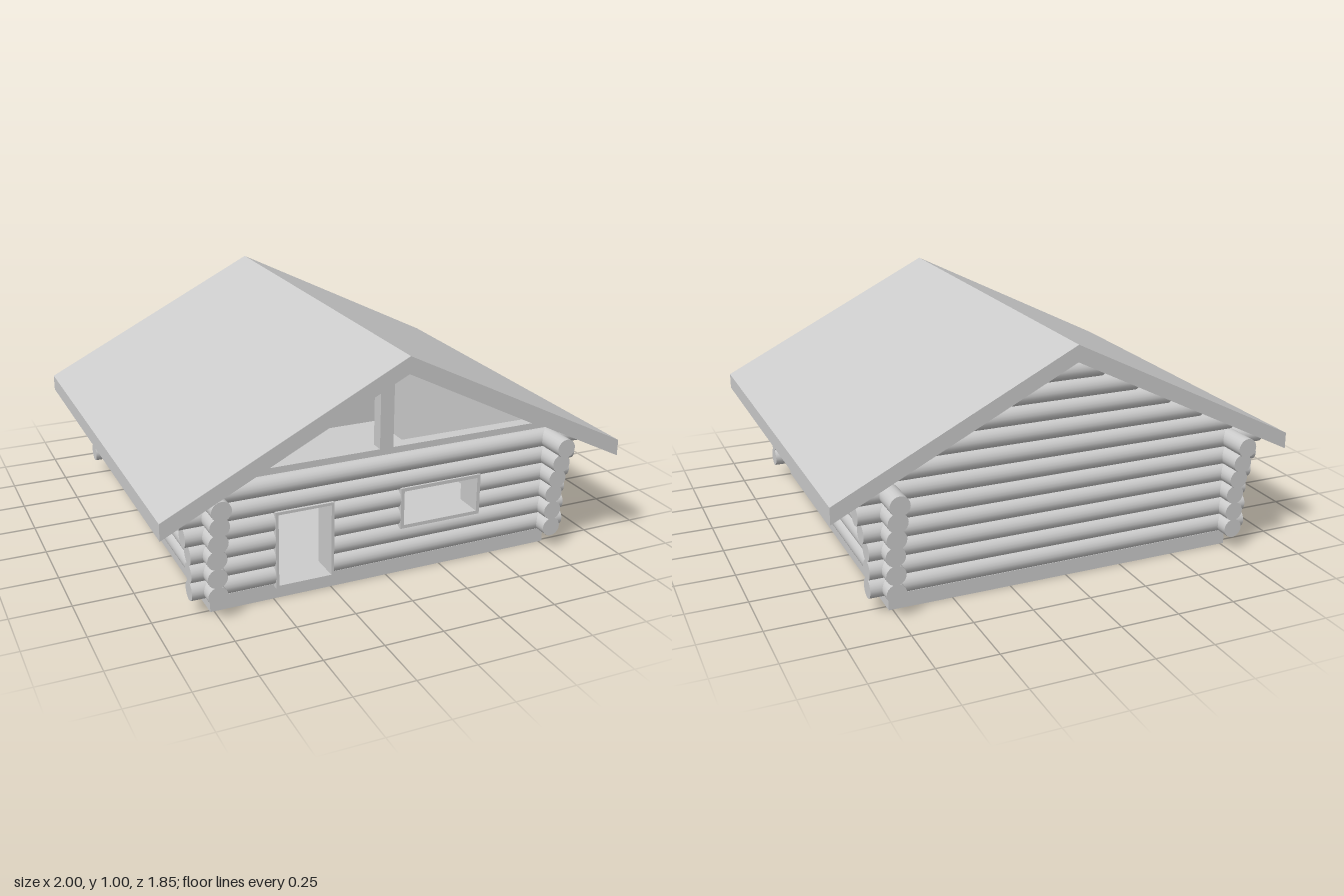
import * as THREE from 'three';

const ZC = -0.01;      // centre of the log walls along z
const WALL = 0.756;    // distance from centre to log axes
const R = 0.041;       // log radius
const PITCH = 0.0775;  // height of one log course
const Y0 = 0.104;      // axis height of the lowest course
const BASE_TOP = 0.065;
const REACH = [0.845, 0.845, 0.845, 0.864, 0.884, 0.911]; // half lengths of the corner courses

const DOOR = { x0: -0.497, x1: -0.247, y0: 0.055, y1: 0.387 };
const WINDOW = { x0: 0.05, x1: 0.42, y0: 0.21, y1: 0.39 };

const material = new THREE.MeshStandardMaterial({ color: 0xcccccc });

function add(parent, name, geometry, x = 0, y = 0, z = 0) {
  const mesh = new THREE.Mesh(geometry, material);
  mesh.name = name;
  mesh.position.set(x, y, z);
  parent.add(mesh);
  return mesh;
}

function box(parent, name, x0, x1, y0, y1, z0, z1) {
  return add(parent, name, new THREE.BoxGeometry(x1 - x0, y1 - y0, z1 - z0),
    (x0 + x1) / 2, (y0 + y1) / 2, (z0 + z1) / 2);
}

// Log between two positions along x or z
function logX(parent, name, x0, x1, y, z) {
  const g = new THREE.CylinderGeometry(R, R, x1 - x0, 20).rotateZ(Math.PI / 2);
  return add(parent, name, g, (x0 + x1) / 2, y, z);
}
function logZ(parent, name, z0, z1, x, y) {
  const g = new THREE.CylinderGeometry(R, R, z1 - z0, 20).rotateX(Math.PI / 2);
  return add(parent, name, g, x, y, (z0 + z1) / 2);
}

const points = (list) => list.map(([x, y]) => new THREE.Vector2(x, y));

// Flat outline with holes, extruded from z0 to z1
function slab(parent, name, outline, holes, z0, z1) {
  const shape = new THREE.Shape(points(outline));
  for (const h of holes) shape.holes.push(new THREE.Path(points(h)));
  const g = new THREE.ExtrudeGeometry(shape, { depth: z1 - z0, bevelEnabled: false });
  return add(parent, name, g, 0, 0, z0);
}

const rect = (o, inset = 0) => [
  [o.x0 + inset, o.y0 + inset], [o.x1 - inset, o.y0 + inset],
  [o.x1 - inset, o.y1 - inset], [o.x0 + inset, o.y1 - inset],
];

export function createModel() {
  const cabin = new THREE.Group();
  cabin.name = 'logCabin';
  const front = ZC + WALL, back = ZC - WALL;

  // Foundation and floor
  box(cabin, 'foundation', -0.766, 0.766, 0, BASE_TOP, ZC - 0.772, ZC + 0.772);

  // Roof: one bent slab with vertical eave edges
  slab(cabin, 'roof',
    [[-1, 0.43], [0, 0.93], [1, 0.43], [1, 0.5], [0, 1], [-1, 0.5]], [], -0.85, 0.925);

  // Log courses with crossing corners; front logs stop at the openings
  const logs = new THREE.Group();
  logs.name = 'logWalls';
  cabin.add(logs);
  REACH.forEach((reach, i) => {
    const y = Y0 + i * PITCH;
    for (const s of [-1, 1]) {
      logZ(logs, s > 0 ? 'leftWallLog' : 'rightWallLog', ZC - reach - 0.003, ZC + reach + 0.003, s * WALL, y);
    }
    logX(logs, 'backWallLog', -reach, reach, y, back);
    let start = -reach;
    for (const o of [DOOR, WINDOW]) {
      if (y > o.y0 && y < o.y1) {
        logX(logs, 'frontWallLog', start, o.x0 + 0.006, y, front);
        start = o.x1 - 0.006;
      }
    }
    logX(logs, 'frontWallLog', start, reach, y, front);
  });

  // Back gable logs, shortening towards the ridge
  for (let i = REACH.length; i < 11; i++) {
    const y = Y0 + i * PITCH;
    const half = (0.95 - y) / 0.5;
    logX(logs, 'backGableLog', -half, half, y, back);
  }

  // Smooth inner walls
  const inner = 0.675;
  for (const s of [-1, 1]) {
    const a = s * inner, b = s * 0.745;
    box(cabin, s > 0 ? 'leftInnerWall' : 'rightInnerWall',
      Math.min(a, b), Math.max(a, b), BASE_TOP, 0.56, back, front);
  }
  slab(cabin, 'backInnerWall',
    [[-0.745, BASE_TOP], [0.745, BASE_TOP], [0.745, 0.56], [0, 0.94], [-0.745, 0.56]], [],
    back, ZC - inner);
  slab(cabin, 'frontInnerWall',
    [[-0.745, BASE_TOP], [DOOR.x0 + 0.012, BASE_TOP], [DOOR.x0 + 0.012, DOOR.y1 - 0.01],
      [DOOR.x1 - 0.012, DOOR.y1 - 0.01], [DOOR.x1 - 0.012, BASE_TOP],
      [0.745, BASE_TOP], [0.745, 0.53], [-0.745, 0.53]],
    [rect(WINDOW, 0.014)], ZC + inner, front);

  // Front gable frame with two triangular openings and a centre post
  const opening = (s) => [[s * 0.03, 0.56], [s * 0.685, 0.56], [s * 0.03, 0.892]];
  slab(cabin, 'frontGableFrame', [[-0.8, 0.53], [0.8, 0.53], [0, 0.94]],
    [opening(-1), opening(1)], front - 0.055, front);

  // Door and window casings
  slab(cabin, 'doorFrame', rect(DOOR), [rect(DOOR, 0.012)], ZC + 0.67, front + 0.042);
  slab(cabin, 'windowFrame', rect(WINDOW), [rect(WINDOW, 0.015)], ZC + 0.67, front + 0.042);

  return cabin;
}
